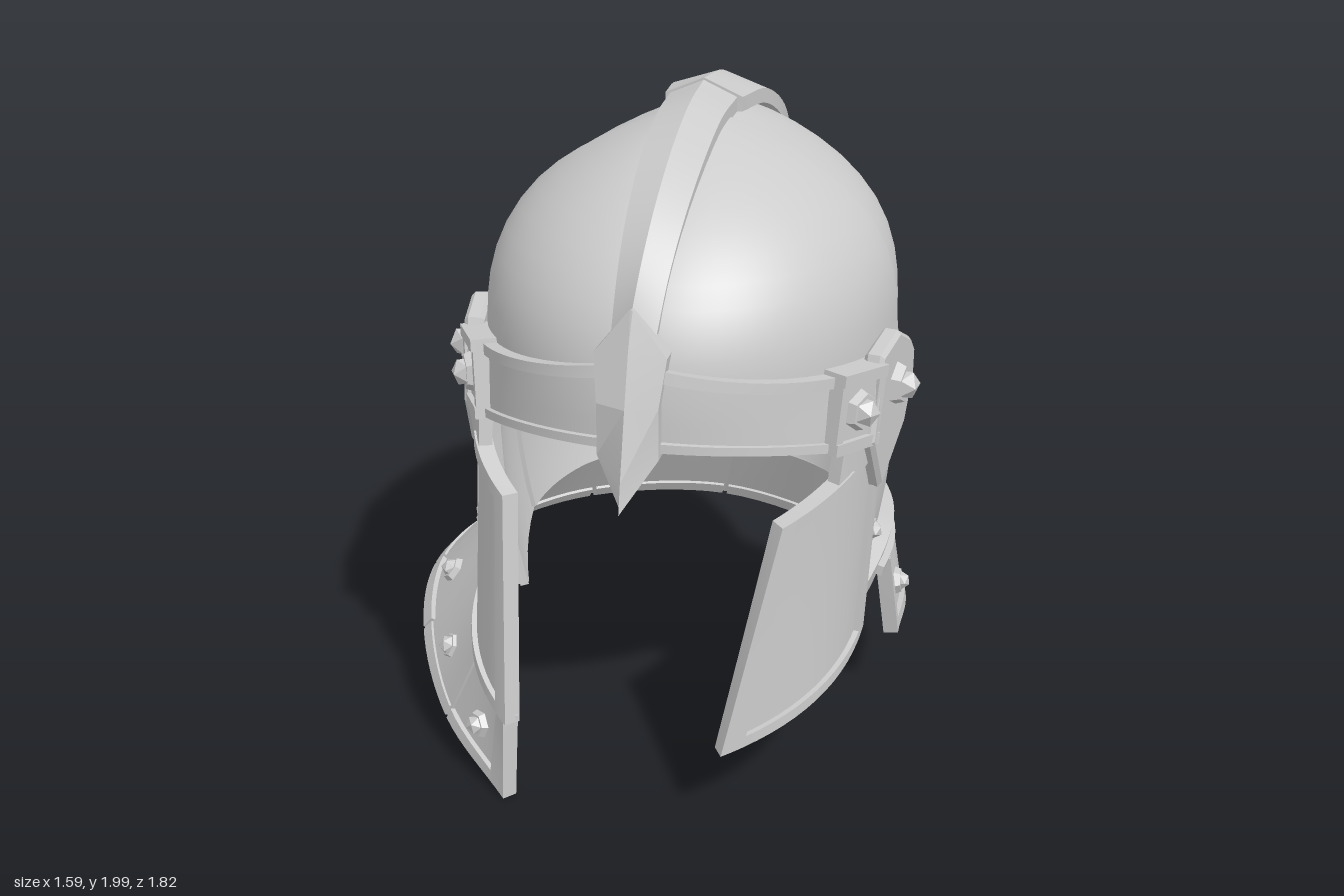
import * as THREE from 'three';
import { toCreasedNormals, mergeVertices } from 'three/addons/utils/BufferGeometryUtils.js';

const CX = 0.09; // middle plane of the helmet
const V = (x, y, z) => new THREE.Vector3(x, y, z);
const rad = THREE.MathUtils.degToRad;
const lerp = THREE.MathUtils.lerp;

export function createModel() {
  const model = new THREE.Group();
  const mat = new THREE.MeshStandardMaterial({ color: 0xcccccc });

  function add(name, geo, parent = model) {
    const m = new THREE.Mesh(geo, mat);
    m.name = name;
    parent.add(m);
    return m;
  }

  // Closed solid from a row of cross-section loops, ends capped, faces turned outward
  function loft(rows, crease = 0.5) {
    const n = rows[0].length, pts = rows.flat(), idx = [];
    const quad = (a, b, c, d) => idx.push(a, b, c, a, c, d);
    for (let i = 0; i < rows.length - 1; i++)
      for (let k = 0; k < n; k++) {
        const l = (k + 1) % n;
        quad(i * n + k, i * n + l, (i + 1) * n + l, (i + 1) * n + k);
      }
    const e = (rows.length - 1) * n;
    for (let k = 0; k < n / 2 - 1; k++) {
      quad(k, n - 1 - k, n - 2 - k, k + 1);
      quad(e + k, e + k + 1, e + n - 2 - k, e + n - 1 - k);
    }
    let vol = 0;
    const c = V(0, 0, 0);
    for (let i = 0; i < idx.length; i += 3)
      vol += pts[idx[i]].dot(c.crossVectors(pts[idx[i + 1]], pts[idx[i + 2]]));
    if (vol < 0) idx.reverse();
    const g = new THREE.BufferGeometry().setFromPoints(pts);
    g.setIndex(idx);
    return toCreasedNormals(mergeVertices(g), crease);
  }

  // Outward normal of a surface f(u, v)
  function normalAt(f, u, v) {
    const d = 0.004, p = f(u, v);
    const a = f(Math.min(u + d, 1), v).sub(f(Math.max(u - d, 0), v));
    const b = f(u, Math.min(v + d, 1)).sub(f(u, Math.max(v - d, 0)));
    const n = a.cross(b).normalize();
    return n.dot(p.sub(V(CX, 0.9, 0))) < 0 ? n.negate() : n;
  }

  // Plate over part of a surface, from offset lo to offset hi along its normal
  function plate(name, f, lo, hi, nu = 16, nv = 8, [u0, u1, v0, v1] = [0, 1, 0, 1]) {
    const rows = [];
    for (let i = 0; i <= nu; i++) {
      const out = [], inn = [], u = lerp(u0, u1, i / nu);
      for (let j = 0; j <= nv; j++) {
        const v = lerp(v0, v1, j / nv), n = normalAt(f, u, v);
        out.push(f(u, v).addScaledVector(n, hi));
        inn.unshift(f(u, v).addScaledVector(n, lo));
      }
      rows.push([...out, ...inn]);
    }
    return add(name, loft(rows));
  }

  // Skull surface: angle in degrees from the front, and height
  function skull(deg, y) {
    const p = rad(deg), c = Math.cos(p), s = Math.sin(p);
    let a = 0.595, zf = 0.75, zb = 0.84;
    if (y > 1.3) {
      const h = Math.min((y - 1.3) / 0.63, 1);
      const end = c > 0 ? (1 - h ** 2.5) ** 0.75 : Math.sqrt(1 - h * h);
      const f = lerp(end, (1 - h ** 3) ** 0.9, s * s);
      a *= f; zf *= f; zb *= f;
    } else {
      const d = (1.3 - y) / 0.65;
      a += 0.09 * d * (1 - 1.2 * d);
      zb -= 0.18 * d ** 1.5;
    }
    return V(CX + a * s, y, c * (c > 0 ? zf : zb));
  }
  const dome = (d0, d1, low) => (u, v) => {
    const d = lerp(d0, d1, u), yb = low(u);
    return skull(d, yb + (1.922 - yb) * Math.sin(v * Math.PI / 2));
  };
  const strip = (d0, d1, low, high) => (u, v) =>
    skull(lerp(d0, d1, u), lerp(low(u), high(u), v));
  const back = u => Math.sin(u * Math.PI);

  // Skull plates
  plate('frontSkullPlate', dome(-88, 88, u => 1.25 - 0.13 * Math.abs(2 * u - 1) ** 4), -0.03, 0.012, 40, 16);
  plate('backSkullPlate', dome(88, 272, u => 1.1 - 0.17 * back(u)), -0.03, 0, 44, 18);
  plate('neckPlate', strip(88, 272, () => 0.58, u => 1.15 - 0.17 * back(u)), -0.045, -0.015, 40, 8);
  const ringDrop = u => 0.11 * Math.max(0, (Math.abs(2 * u - 1) - 0.78) / 0.22);
  plate('neckRing', strip(66, 294, u => 0.575 - ringDrop(u), u => 0.655 - ringDrop(u)), -0.03, 0.045, 48, 1);
  plate('neckRingLip', strip(80, 280, () => 0.565, () => 0.595), 0, 0.065, 44, 1);

  // Ridge over the crown: apex line and edge line as [z, y] points
  function ridge(name, apex, edge, width) {
    const curve = a => new THREE.CatmullRomCurve3(a.map(([z, y]) => V(0, y, z)));
    const A = curve(apex), E = curve(edge), W = curve(width.map((w, i) => [i, w]));
    const rows = [];
    for (let i = 0; i <= 32; i++) {
      const t = i / 32, p = A.getPoint(t), e = E.getPoint(t), w = W.getPoint(t).y;
      const b = e.clone().sub(V(0, 1, 0)).multiplyScalar(0.955).add(V(0, 1, 0));
      const at = (q, x) => V(CX + x, q.y, q.z);
      rows.push([at(b, -w), at(e, -w), at(p, 0), at(p, 0), at(e, w), at(b, w)]);
    }
    add(name, loft(rows, 0.4));
  }
  ridge('frontRidge',
    [[-0.075, 1.995], [0.1, 1.975], [0.3, 1.91], [0.5, 1.805], [0.65, 1.695], [0.77, 1.58]],
    [[-0.075, 1.95], [0.1, 1.94], [0.3, 1.88], [0.5, 1.77], [0.64, 1.65], [0.755, 1.5]],
    [0.1, 0.095, 0.09, 0.08, 0.07, 0.06]);
  ridge('backRidge',
    [[-0.08, 2], [-0.33, 1.96], [-0.55, 1.87], [-0.75, 1.73], [-0.88, 1.55], [-0.91, 1.35], [-0.87, 1.1], [-0.74, 0.78]],
    [[-0.08, 1.95], [-0.3, 1.92], [-0.5, 1.83], [-0.7, 1.69], [-0.83, 1.51], [-0.865, 1.32], [-0.83, 1.08], [-0.71, 0.79]],
    [0.115, 0.14, 0.155, 0.145, 0.12, 0.115, 0.11, 0.08]);

  // Brow band with raised edges
  const brow = strip(-51, 51, u => 1.215 - 0.09 * (2 * u - 1) ** 2, u => 1.45 - 0.1 * Math.abs(2 * u - 1));
  plate('browBand', brow, -0.01, 0.035, 32, 3);
  plate('browUpperEdge', brow, 0, 0.05, 32, 1, [0, 1, 0.86, 1]);
  plate('browLowerEdge', brow, 0, 0.05, 32, 1, [0, 1, 0, 0.12]);

  // Nose guard: ridge y, ridge z, side y, side z, half width
  add('noseGuard', loft([
    [1.075, 0.91, 1.09, 0.89, 0.004], [1.16, 0.89, 1.2, 0.81, 0.085], [1.35, 0.84, 1.35, 0.81, 0.085],
    [1.5, 0.795, 1.48, 0.775, 0.1], [1.61, 0.77, 1.6, 0.76, 0.004],
  ].map(([ry, rz, sy, sz, w]) => [
    V(CX - w, sy, sz - 0.06), V(CX - w, sy, sz), V(CX, ry, rz),
    V(CX, ry, rz), V(CX + w, sy, sz), V(CX + w, sy, sz - 0.06),
  ]), 0.2));

  // Stud: small faceted base and blunt point, facing along dir
  function stud(name, pos, dir, r, parent = model) {
    const g = new THREE.Group();
    g.name = name;
    g.position.copy(pos);
    g.quaternion.setFromUnitVectors(V(0, 1, 0), dir);
    const base = new THREE.CylinderGeometry(r * 0.95, r * 1.15, r * 0.5, 6).toNonIndexed();
    base.computeVertexNormals();
    add(name + 'Base', base, g);
    add(name + 'Point', new THREE.IcosahedronGeometry(r * 0.8, 0), g).position.y = r * 0.2;
    parent.add(g);
  }

  // Cheek, side plate, hinge and brow clasp on each side
  for (const s of [1, -1]) {
    const side = s > 0 ? 'left' : 'right';
    const X = x => CX + s * x;
    plate(side + 'SidePlate', strip(s * 64, s * 90, u => 0.47 + 0.1 * u, () => 1.25), -0.03, -0.004, 8, 6);

    // Cheek edges run from rear to front; the two sides splay differently at the bottom
    const bezier = (a, m, b) => new THREE.QuadraticBezierCurve3(a,
      m.clone().multiplyScalar(2).addScaledVector(a, -0.5).addScaledVector(b, -0.5), b);
    const low = s > 0
      ? bezier(V(0.66, 0.47, 0.3), V(0.57, 0.36, 0.56), V(0.34, 0.27, 0.77))
      : bezier(V(-0.5, 0.47, 0.3), V(-0.45, 0.36, 0.56), V(-0.285, 0.27, 0.77));
    const top = bezier(V(X(0.595), 1.1, 0.24), V(X(0.53), 1.04, 0.48), V(X(0.39), 0.97, 0.67));
    const cheek = (u, v) => low.getPoint(u).lerp(top.getPoint(u), v);
    plate(side + 'CheekPlate', cheek, -0.03, 0, 14, 6);
    [[0.9, 1, 0, 1], [0, 0.1, 0, 1], [0.1, 0.9, 0, 0.05], [0.42, 0.9, 0.94, 1]].forEach((r, i) =>
      plate(side + 'CheekEdge' + i, cheek, -0.035, 0.016, 12, 3, r));
    plate(side + 'CheekTab', (u, v) => cheek(u * 0.56, lerp(0.94, 1.14, v)), -0.03, 0.01, 8, 3);
    stud(side + 'SideStud', skull(s * 79, 0.71), V(s, 0, 0.2).normalize(), 0.035);

    // Hinge plate, outlined as [z, y] around its bolt
    const hinge = new THREE.Group();
    hinge.name = side + 'Hinge';
    hinge.position.set(X(0.59), 1.22, 0.21);
    hinge.rotation.y = s * rad(80);
    const outline = [[0.12, 0.13], [-0.02, 0.15], [-0.13, 0.09], [-0.165, 0.05], [-0.165, -0.03],
      [-0.1, -0.15], [0.09, -0.265], [0.18, -0.1], [0.14, 0.07]];
    const shape = new THREE.Shape(outline.map(([z, y]) => new THREE.Vector2(-s * z, y)));
    add(side + 'HingePlate', new THREE.ExtrudeGeometry(shape,
      { depth: 0.035, bevelThickness: 0.012, bevelSize: 0.012, bevelSegments: 1 }), hinge);
    stud(side + 'HingeBolt', V(0, 0.01, 0.06), V(0, 0, 1), 0.058, hinge);
    model.add(hinge);

    // Clasp: framed square with a bolt
    const clasp = new THREE.Group();
    clasp.name = side + 'Clasp';
    clasp.position.set(X(0.53), 1.235, 0.42);
    clasp.rotation.set(0, s * rad(62), s * rad(-8), 'YXZ');
    add(side + 'ClaspPlate', new THREE.BoxGeometry(0.2, 0.22, 0.07), clasp);
    for (const k of [-1, 1]) {
      add(side + 'ClaspBar', new THREE.BoxGeometry(0.2, 0.035, 0.1), clasp).position.y = k * 0.1;
      add(side + 'ClaspPost', new THREE.BoxGeometry(0.03, 0.2, 0.09), clasp).position.x = k * 0.085;
    }
    stud(side + 'ClaspBolt', V(0, 0, 0.045), V(0, 0, 1), 0.055, clasp);
    model.add(clasp);
  }

  // Neck guard: upper and lower rims, from the left side round the back to the right front
  const rim = a => new THREE.CatmullRomCurve3(a.map(p => V(...p)));
  const upper = rim([[0.7, 0.55, 0.03], [0.67, 0.58, -0.25], [0.5, 0.59, -0.52], [0.09, 0.6, -0.67],
    [-0.32, 0.59, -0.52], [-0.5, 0.59, -0.25], [-0.53, 0.59, 0.02], [-0.5, 0.51, 0.3], [-0.43, 0.39, 0.57], [-0.29, 0.29, 0.765]]);
  const lower = rim([[0.73, 0.255, -0.03], [0.715, 0.26, -0.3], [0.52, 0.28, -0.6], [0.02, 0.3, -0.81],
    [-0.45, 0.31, -0.66], [-0.71, 0.32, -0.32], [-0.78, 0.31, 0], [-0.72, 0.24, 0.28], [-0.55, 0.12, 0.56], [-0.3, 0.01, 0.77]]);
  const guard = (u, v) => lower.getPoint(u).lerp(upper.getPoint(u), v);
  for (let i = 0; i < 9; i++) {
    const u0 = i / 9, u1 = (i + 1) / 9;
    plate('neckGuardPlate' + i, guard, -0.02, i % 2 ? 0.008 : 0, 8, 3, [u0, u1, 0, 1]);
    plate('neckGuardRim' + i, guard, -0.03, 0.016, 8, 1, [u0 + 0.002, u1 - 0.002, 0, 0.13]);
  }
  plate('neckGuardFrontEdge', guard, -0.03, 0.016, 2, 4, [0.975, 1, 0, 1]);
  plate('neckGuardSideEdge', guard, -0.03, 0.016, 2, 4, [0, 0.015, 0, 1]);
  [0.5, 1.55, 4, 5.4, 6.5, 7.5, 8.45].forEach((k, i) => {
    const n = normalAt(guard, k / 9, 0.4);
    stud('neckGuardStud' + i, guard(k / 9, 0.4).addScaledVector(n, 0.01), n, 0.038);
  });

  return model;
}
